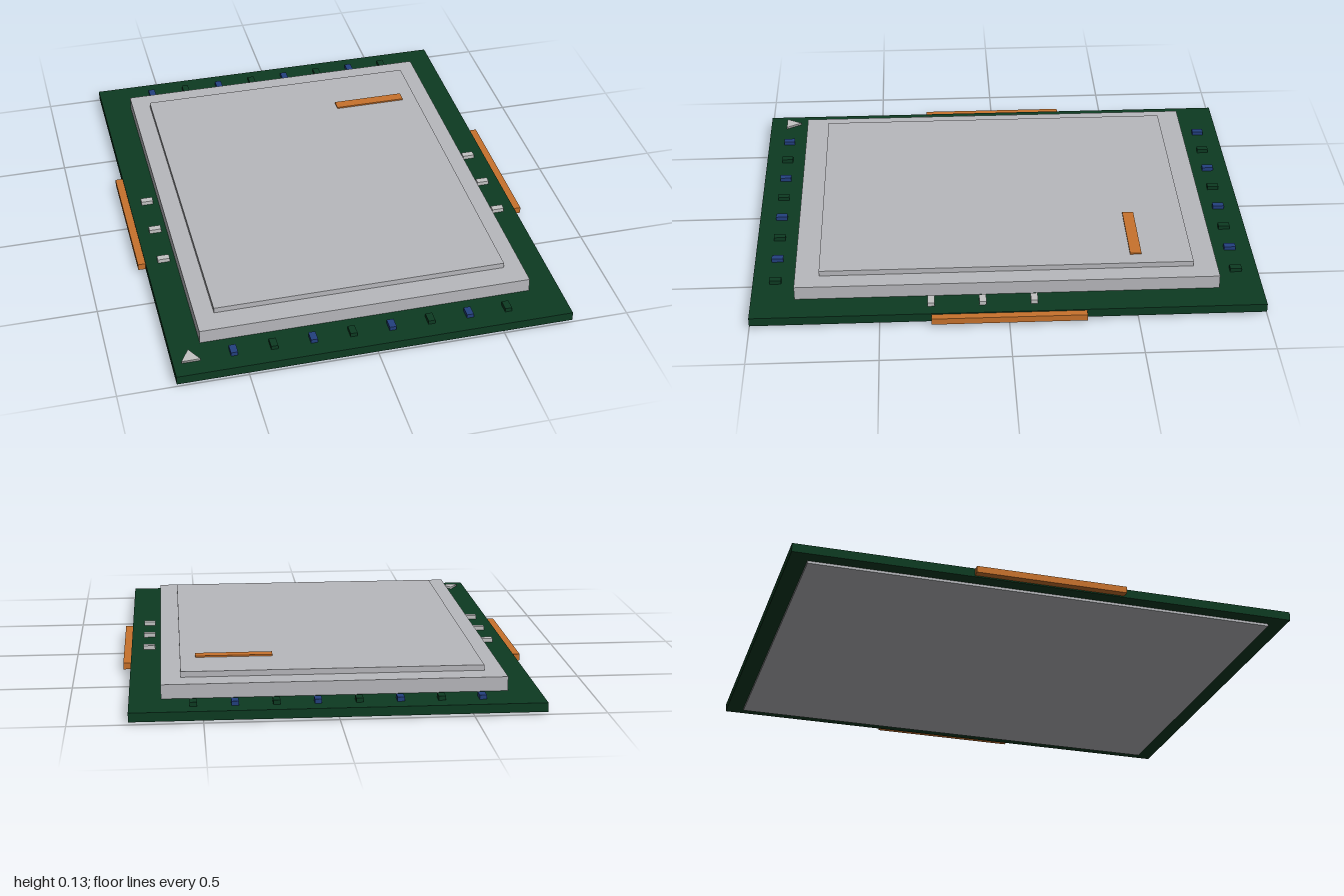
import * as THREE from 'three';

export function createModel() {
  const group = new THREE.Group();
  const mat = (name, color) => {
    const m = new THREE.MeshStandardMaterial({ color });
    m.name = name;
    return m;
  };
  const green = mat('board green', 0x0d3b22);
  const silver = mat('lid silver', 0xb8b9bd);
  const pale = mat('contact silver', 0xc4c4c4);
  const copper = mat('copper', 0xc8722c);
  const blue = mat('component blue', 0x23407f);

  // Box from its centre on the ground plane and its bottom and top heights
  const box = (name, material, x, z, w, d, y0, y1) => {
    const mesh = new THREE.Mesh(new THREE.BoxGeometry(w, y1 - y0, d), material);
    mesh.position.set(x, (y0 + y1) / 2, z);
    mesh.name = name;
    group.add(mesh);
  };

  // Board with the contact plate underneath
  box('contactPlate', silver, 0, 0, 1.44, 1.86, 0, 0.02);
  box('board', green, 0, 0, 1.55, 2, 0.01, 0.045);

  // Two-step metal lid with a copper stripe
  box('lidBase', silver, 0, 0, 1.31, 1.66, 0.045, 0.1);
  box('lidTop', silver, 0, 0, 1.16, 1.47, 0.1, 0.122);
  box('lidStripe', copper, 0.37, -0.513, 0.3, 0.045, 0.122, 0.128);

  // Copper edge tabs and small contacts on both sides
  for (const side of [-1, 1]) {
    box('edgeTab', copper, side * 0.785, 0, 0.04, 0.6, 0.015, 0.041);
    for (const z of [-0.1, 0.1, 0.3]) {
      box('sideContact', pale, side * 0.702, z, 0.048, 0.027, 0.045, 0.061);
    }
  }

  // Rows of alternating components at the front and back
  for (const z of [-0.912, 0.91]) {
    for (let i = 0; i < 8; i++) {
      box('component', i % 2 ? green : blue, -0.542 + i * 0.154, z, 0.027, 0.046, 0.045, 0.061);
    }
  }

  // Triangular corner marker pointing to the back
  const marker = new THREE.Mesh(new THREE.CylinderGeometry(0.042, 0.042, 0.009, 3), pale);
  marker.rotation.y = Math.PI;
  marker.position.set(-0.707, 0.0495, 0.908);
  marker.name = 'cornerMarker';
  group.add(marker);

  return group;
}
